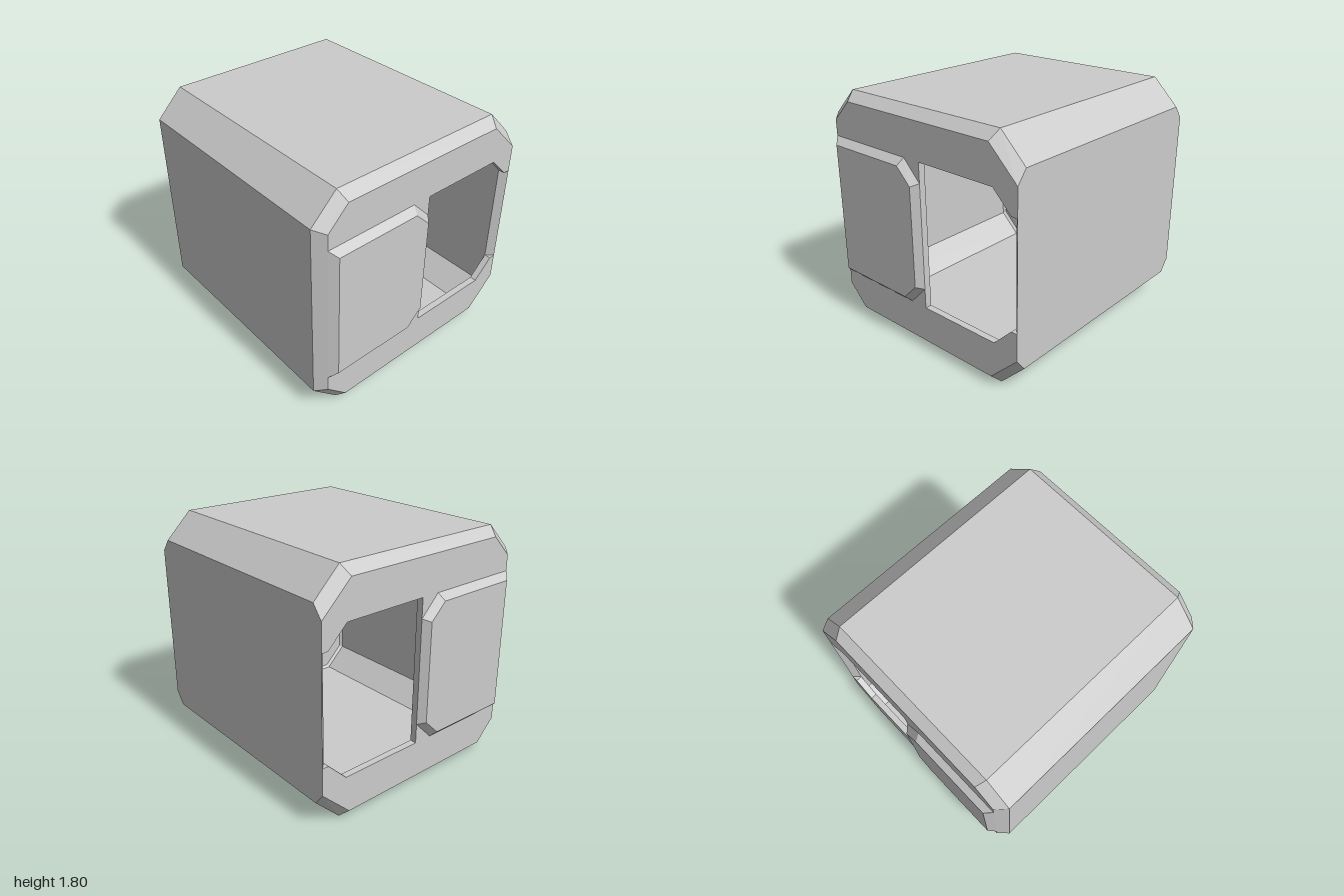
import * as THREE from 'three';

const material = new THREE.MeshStandardMaterial({ color: 0xcccccc, flatShading: true });

// Symmetric cross-section: takes the lower half as [z, y] from the front, mirrors it about mid-height
const MID = 0.9;
const mirrored = (lower) => [...lower, ...lower.map(([z, y]) => [z, 2 * MID - y]).reverse()];

// Skin between cross-sections { x, pts: [z, y] } ordered by rising x; optional cap on the last one
function loft(sections, { inward = false, cap = false } = {}) {
  const pos = [];
  const tri = (a, b, c) => pos.push(...a, ...(inward ? [...c, ...b] : [...b, ...c]));
  const at = (s, i) => {
    const [z, y] = s.pts[i % s.pts.length];
    return [s.x, y, z];
  };
  for (let k = 0; k + 1 < sections.length; k++) {
    const a = sections[k], b = sections[k + 1];
    for (let i = 0; i < a.pts.length; i++) {
      tri(at(a, i), at(b, i), at(b, i + 1));
      tri(at(a, i), at(b, i + 1), at(a, i + 1));
    }
  }
  if (cap) {
    const e = sections[sections.length - 1];
    for (let i = 1; i + 1 < e.pts.length; i++) tri(at(e, 0), at(e, i + 1), at(e, i));
  }
  const g = new THREE.BufferGeometry();
  g.setAttribute('position', new THREE.Float32BufferAttribute(pos, 3));
  g.computeVertexNormals();
  return g;
}

function part(name, geometry) {
  const mesh = new THREE.Mesh(geometry, material);
  mesh.name = name;
  return mesh;
}

// Cross-sections, listed from the back over the bottom to the front
const outer = mirrored([[-0.9, 0.2], [-0.7, 0], [0.7, 0], [0.9, 0.2]]);
const inset = mirrored([[-0.9, 0.295], [-0.67, 0.07], [0.67, 0.07], [0.83, 0.23]]);
const inner = mirrored([[-0.85, 0.22], [-0.68, 0.05], [0.68, 0.05], [0.85, 0.22]]);
const innerEnd = mirrored([[-0.85, 0.245], [-0.67, 0.07], [0.67, 0.07], [0.83, 0.23]]);

// One side wall with its window, the bevelled edge of the back wall and the raised panel
function createSide() {
  const side = new THREE.Group();

  // C-shaped wall: inset outline with the window notched in from the back
  const window_ = mirrored([[-0.9, 0.5], [-0.85, 0.5], [-0.7, 0.35], [-0.045, 0.35]]);
  const outline = [...inset, ...window_.slice().reverse()];
  const shape = new THREE.Shape(outline.map(([z, y]) => new THREE.Vector2(z, y)));
  const wall = new THREE.ExtrudeGeometry(shape, { depth: 0.05, bevelEnabled: false });
  wall.rotateY(-Math.PI / 2).translate(0.95, 0, 0);
  side.add(part('sideWall', wall));

  // Bevelled edge of the back wall inside the window
  const strip = new THREE.PlaneGeometry(Math.hypot(0.05, 0.05), 0.8);
  strip.rotateY(Math.PI / 4).translate(0.925, MID, -0.875);
  side.add(part('backWallEdge', strip));

  // Raised panel in front of the window
  const base = mirrored([[-0.045, 0.5], [0.1, 0.35], [0.83, 0.35]]);
  const face = mirrored([[0, 0.52], [0.12, 0.4], [0.78, 0.4]]);
  side.add(part('raisedPanel', loft([{ x: 0.95, pts: base }, { x: 1, pts: face }], { cap: true })));
  return side;
}

export function createModel() {
  const model = new THREE.Group();
  model.name = 'hollowBox';

  // Outer skin with bevelled rims
  model.add(part('outerShell', loft([
    { x: -0.95, pts: inset }, { x: -0.875, pts: outer },
    { x: 0.875, pts: outer }, { x: 0.95, pts: inset },
  ])));

  // Inner lining, facing the cavity
  model.add(part('innerLining', loft([
    { x: -0.9, pts: innerEnd }, { x: -0.88, pts: inner },
    { x: 0.88, pts: inner }, { x: 0.9, pts: innerEnd },
  ], { inward: true })));

  // The sides are alike top to bottom, so a half turn makes the opposite one
  const leftSide = createSide();
  leftSide.name = 'leftSide';
  const rightSide = createSide();
  rightSide.name = 'rightSide';
  rightSide.rotation.z = Math.PI;
  rightSide.position.y = 2 * MID;
  model.add(leftSide, rightSide);
  return model;
}
